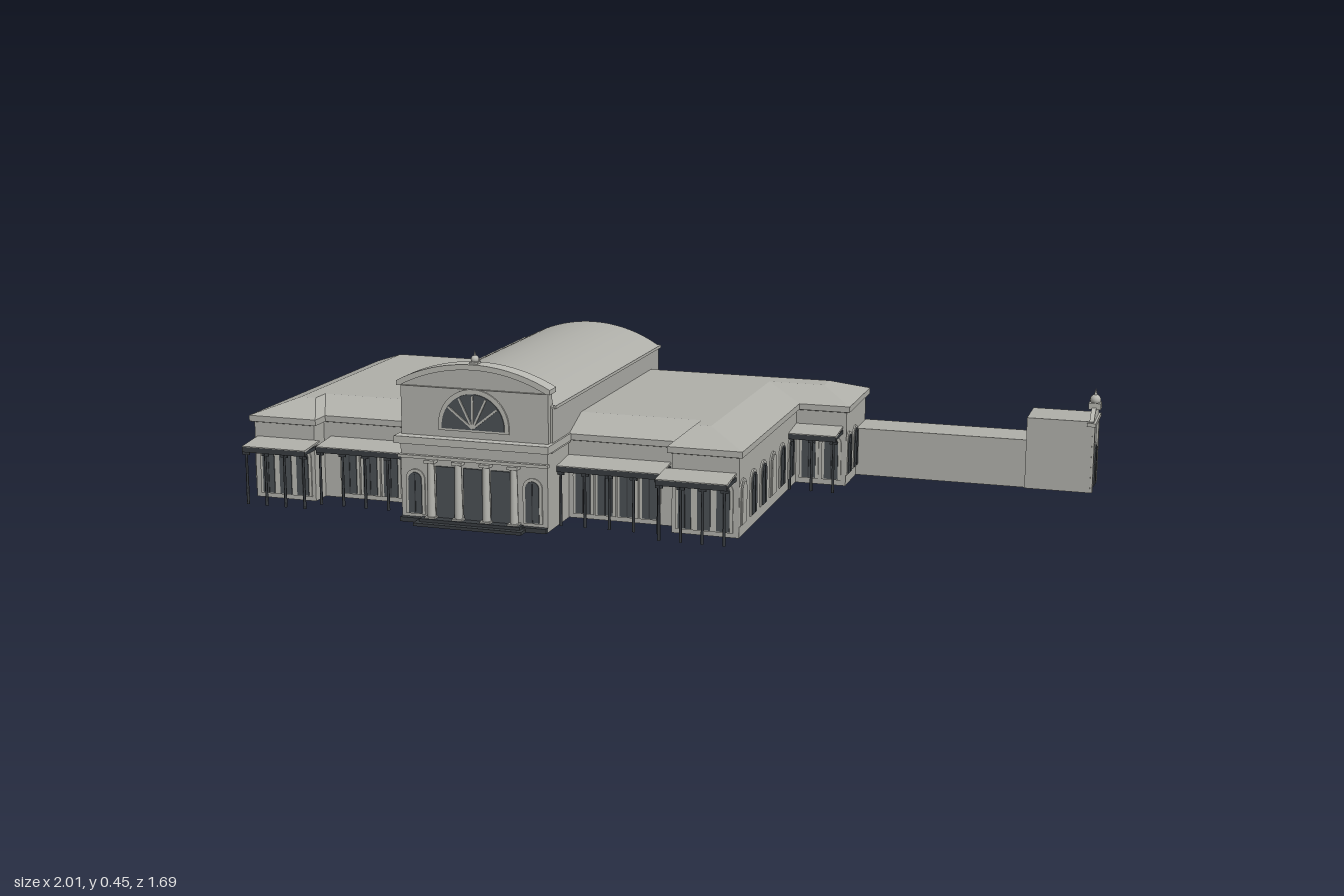
import * as THREE from 'three';

const mat = (name, color, side = THREE.FrontSide) => {
  const m = new THREE.MeshStandardMaterial({ color, side });
  m.name = name;
  return m;
};

export function createModel() {
  const stone = mat('stone', 0xb2b2ac, THREE.DoubleSide);
  const roofing = mat('roofing', 0xb0b0aa, THREE.DoubleSide);
  const trim = mat('trim', 0xb8b8b2);
  const glass = mat('dark glass', 0x4b5054);
  const iron = mat('dark iron', 0x383c40);

  const root = new THREE.Group();
  root.name = 'stationBuilding';
  const plan = new THREE.Group(); // everything is laid out square, then turned
  plan.name = 'building';
  plan.rotation.y = 0.389;
  root.add(plan);

  const add = (name, geo, m, x = 0, y = 0, z = 0, ry = 0) => {
    const mesh = new THREE.Mesh(geo, m);
    mesh.name = name;
    mesh.position.set(x, y, z);
    mesh.rotation.y = ry;
    plan.add(mesh);
    return mesh;
  };
  // box given by its limits
  const box = (name, m, x0, x1, y0, y1, z0, z1) =>
    add(name, new THREE.BoxGeometry(x1 - x0, y1 - y0, z1 - z0), m, (x0 + x1) / 2, (y0 + y1) / 2, (z0 + z1) / 2);

  // upright rectangle with a curved top
  const arched = (hw, base, spring, peak) => {
    const rise = peak - spring, r = (hw * hw + rise * rise) / (2 * rise);
    const a = Math.atan2(spring - peak + r, hw);
    const s = new THREE.Shape();
    s.moveTo(-hw, base);
    s.lineTo(hw, base);
    s.absarc(0, peak - r, r, a, Math.PI - a, false);
    s.closePath();
    return s;
  };
  const extrude = (shape, depth, curveSegments = 16) =>
    new THREE.ExtrudeGeometry(shape, { depth, bevelEnabled: false, curveSegments });

  // walls and slopes between plan outlines; each ring is [outline, height]
  const loft = (name, rings, m) => {
    const pos = [];
    for (let k = 0; k + 1 < rings.length; k++) {
      const [lo, y0] = rings[k], [hi, y1] = rings[k + 1];
      lo.forEach((p, i) => {
        const j = (i + 1) % lo.length;
        const a = [p[0], y0, p[1]], b = [lo[j][0], y0, lo[j][1]];
        const c = [hi[j][0], y1, hi[j][1]], d = [hi[i][0], y1, hi[i][1]];
        pos.push(...a, ...d, ...c, ...a, ...c, ...b);
      });
    }
    const g = new THREE.BufferGeometry();
    g.setAttribute('position', new THREE.Float32BufferAttribute(pos, 3));
    g.computeVertexNormals();
    return add(name, g, m);
  };
  const inset = (ring, d) => ring.map((p, i) => {
    const q = ring[(i + ring.length - 1) % ring.length], n = ring[(i + 1) % ring.length];
    const e = [[p[0] - q[0], p[1] - q[1]], [n[0] - p[0], n[1] - p[1]]];
    return e.reduce((o, [x, z]) => [o[0] - Math.sign(z) * d, o[1] + Math.sign(x) * d], p);
  });

  // wing: open-bottomed walls, cornice, sloping roof skirt and flat top
  const wing = (side, eave, flat) => {
    const wall = inset(eave, 0.01);
    loft(side + 'WingWalls', [[wall, 0], [wall, 0.205], [eave, 0.208], [eave, 0.224]], stone);
    loft(side + 'WingRoofSlopes', [[eave, 0.224], [flat, 0.262]], roofing);
    const top = new THREE.ShapeGeometry(new THREE.Shape(flat.map(([x, z]) => new THREE.Vector2(x, -z))));
    top.rotateX(-Math.PI / 2);
    add(side + 'WingRoofTop', top, roofing, 0, 0.262, 0);
  };
  wing('right',
    [[-0.94, -0.352], [-0.45, -0.352], [-0.45, 0.39], [-0.745, 0.39], [-0.745, 0.448], [-0.94, 0.448]],
    [[-0.835, -0.288], [-0.45, -0.288], [-0.45, 0.296], [-0.79, 0.296], [-0.79, 0.353], [-0.835, 0.353]]);
  wing('left',
    [[-0.468, -0.417], [0.56, -0.417], [0.56, -0.146], [0.42, -0.146], [0.42, 0.448], [0.225, 0.448],
      [0.225, 0.39], [-0.075, 0.39], [-0.075, -0.36], [-0.468, -0.36]],
    [[-0.468, -0.3], [0.469, -0.3], [0.469, -0.235], [0.312, -0.235], [0.312, 0.353], [0.27, 0.353],
      [0.27, 0.296], [-0.075, 0.296], [-0.075, -0.295], [-0.468, -0.295]]);

  // central hall with barrel vault
  const cx = -0.26;
  const hall = [[-0.46, -0.372], [-0.06, -0.372], [-0.06, 0.535], [-0.46, 0.535]];
  loft('hallWalls', [[hall, 0], [hall, 0.21]], stone);
  add('hallVault', extrude(arched(0.205, 0.2, 0.318, 0.378), 0.885, 24), roofing, cx, 0, -0.374);
  for (const s of [-1, 1]) {
    const x = cx + s * 0.206;
    box('vaultEave', trim, x - 0.005, x + 0.005, 0.312, 0.32, -0.376, 0.5);
  }
  box('hallFloor', iron, -0.46, -0.06, 0, 0.012, 0.1, 0.55);
  box('lowerStep', iron, -0.41, -0.115, 0, 0.008, 0.54, 0.582);
  box('upperStep', iron, -0.4, -0.125, 0.008, 0.016, 0.54, 0.566);

  // front gable, its cornices, fan window and finial
  add('frontGable', extrude(arched(0.2, 0.2, 0.362, 0.41), 0.03, 24), stone, cx, 0, 0.497);
  const hood = arched(0.208, 0.354, 0.366, 0.418);
  hood.holes.push(arched(0.195, 0.3545, 0.356, 0.404));
  add('gableHood', extrude(hood, 0.046, 24), trim, cx, 0, 0.49);
  box('porticoCornice', trim, -0.47, -0.05, 0.207, 0.226, 0.385, 0.556);
  box('porticoBand', trim, -0.464, -0.056, 0.168, 0.176, 0.53, 0.546);
  add('fanWindowSurround', extrude(arched(0.096, 0.244, 0.256, 0.354), 0.006), trim, cx, 0, 0.526);
  add('fanWindow', extrude(arched(0.085, 0.25, 0.256, 0.342), 0.008), glass, cx, 0, 0.527);
  for (const a of [-0.9, -0.45, 0, 0.45, 0.9]) {
    const bar = add('fanWindowBar', new THREE.BoxGeometry(0.005, 0.084, 0.004).translate(0, 0.042, 0), trim, cx, 0.254, 0.536);
    bar.rotation.z = a;
  }
  const finial = (x, y, z, s) => {
    add('finialBase', new THREE.BoxGeometry(0.026 * s, 0.014 * s, 0.026 * s), trim, x, y + 0.005 * s, z);
    add('finialBall', new THREE.SphereGeometry(0.012 * s, 12, 8), trim, x, y + 0.018 * s, z);
    add('finialTip', new THREE.ConeGeometry(0.005 * s, 0.02 * s, 8), trim, x, y + 0.034 * s, z);
  };
  finial(cx, 0.412, 0.513, 0.9);

  // arched openings on any wall; ry turns the opening outward
  const opening = (x, z, ry, w, y0, y1, m = glass) => {
    const hw = w / 2, f = hw + 0.008;
    add('windowSurround', extrude(arched(f, y0, y1 - hw, y1 + 0.008), 0.004, 8), trim, x, 0, z, ry);
    add('windowPane', extrude(arched(hw, y0 + 0.003, y1 - hw, y1), 0.007, 8), m, x, 0, z, ry);
    if (m === glass) {
      const bar = add('windowBar', new THREE.BoxGeometry(0.003, y1 - y0 - 0.01, 0.009), iron, x, (y0 + y1) / 2, z, ry);
      bar.translateZ(0.004);
    }
  };
  const R = Math.PI / 2;
  for (let i = 0; i < 6; i++) {
    opening(-0.93, 0.4 - i * 0.123, -R, 0.052, 0.02, 0.142);
    opening(0.41, 0.408 - i * 0.1, R, 0.042, 0.03, 0.14, i === 0 || i === 3 ? stone : glass);
    box('sidePilaster', trim, -0.936, -0.93, 0, 0.2, 0.334 - i * 0.123, 0.344 - i * 0.123);
  }
  for (const z of [-0.185, -0.265]) opening(0.55, z, R, 0.042, 0.03, 0.14);
  for (const x of [0.447, 0.51]) opening(x, -0.156, 0, 0.038, 0.015, 0.135);
  for (const s of [-1, 1]) {
    for (const d of [0.53, 0.58, 0.63]) opening(cx + s * d, 0.438, 0, 0.034, 0.012, 0.135);
    for (const d of [0.24, 0.3, 0.36, 0.42]) opening(cx + s * d, 0.38, 0, 0.04, 0.012, 0.135);
    opening(cx + s * 0.16, 0.535, 0, 0.036, 0.02, 0.13);
  }

  // portico doorways and columns
  for (const d of [-0.075, 0, 0.075])
    box('doorway', glass, cx + d - 0.027, cx + d + 0.027, 0.014, 0.15, 0.534, 0.54);
  for (const d of [-0.113, -0.038, 0.038, 0.113]) {
    add('porticoColumn', new THREE.CylinderGeometry(0.009, 0.011, 0.145, 12), trim, cx + d, 0.09, 0.546);
    box('columnBase', trim, cx + d - 0.014, cx + d + 0.014, 0.012, 0.02, 0.535, 0.56);
    box('columnCapital', trim, cx + d - 0.014, cx + d + 0.014, 0.16, 0.168, 0.535, 0.558);
  }

  // verandas: sloping sheet, dark fringe and slender posts
  const veranda = (x0, x1, z0, z1, posts) => {
    const depth = z1 - z0;
    const sheet = add('verandaRoof', new THREE.BoxGeometry(x1 - x0, 0.005, depth), roofing, (x0 + x1) / 2, 0.16, (z0 + z1) / 2);
    sheet.rotation.x = 0.1;
    box('verandaFringe', iron, x0, x1, 0.142, 0.156, z1 - 0.006, z1);
    for (const x of [x0 + 0.002, x1 - 0.002]) box('verandaSideFringe', iron, x - 0.002, x + 0.002, 0.146, 0.156, z0, z1);
    for (let i = 0; i < posts; i++) {
      const x = x0 + 0.008 + (x1 - x0 - 0.016) * i / (posts - 1);
      add('verandaPost', new THREE.CylinderGeometry(0.003, 0.004, 0.15, 6), iron, x, 0.075, z1 - 0.008);
      box('postBracket', iron, x - 0.01, x + 0.01, 0.134, 0.142, z1 - 0.01, z1 - 0.006);
    }
  };
  veranda(-0.922, -0.74, 0.438, 0.525, 4);
  veranda(0.218, 0.402, 0.438, 0.525, 4);
  veranda(-0.735, -0.46, 0.38, 0.47, 5);
  veranda(-0.06, 0.215, 0.38, 0.47, 5);
  veranda(0.405, 0.541, -0.156, -0.066, 3);

  // long yard wall and end lodge
  const lodgeBlock = (name, x0, x1, z0, z1, h) => {
    const ring = [[x0, z0], [x1, z0], [x1, z1], [x0, z1]];
    loft(name + 'Walls', [[ring, 0], [ring, h]], stone);
    box(name + 'Top', roofing, x0, x1, h - 0.004, h, z0, z1);
  };
  lodgeBlock('yard', 0.55, 1.025, -0.415, -0.292, 0.133);
  lodgeBlock('lodge', 1.02, 1.195, -0.42, -0.284, 0.197);
  const lz = -0.352;
  add('lodgePediment', extrude(arched(0.068, 0.18, 0.197, 0.226), 0.012), trim, 1.186, 0, lz, R);
  box('lodgeCornice', trim, 1.18, 1.204, 0.184, 0.194, -0.427, -0.277);
  finial(1.193, 0.222, lz, 1.25);
  opening(1.195, lz, R, 0.052, 0.005, 0.12);
  for (const s of [-1, 1])
    box('lodgePilaster', trim, 1.19, 1.201, 0, 0.184, lz + s * 0.058 - 0.008, lz + s * 0.058 + 0.008);

  return root;
}
